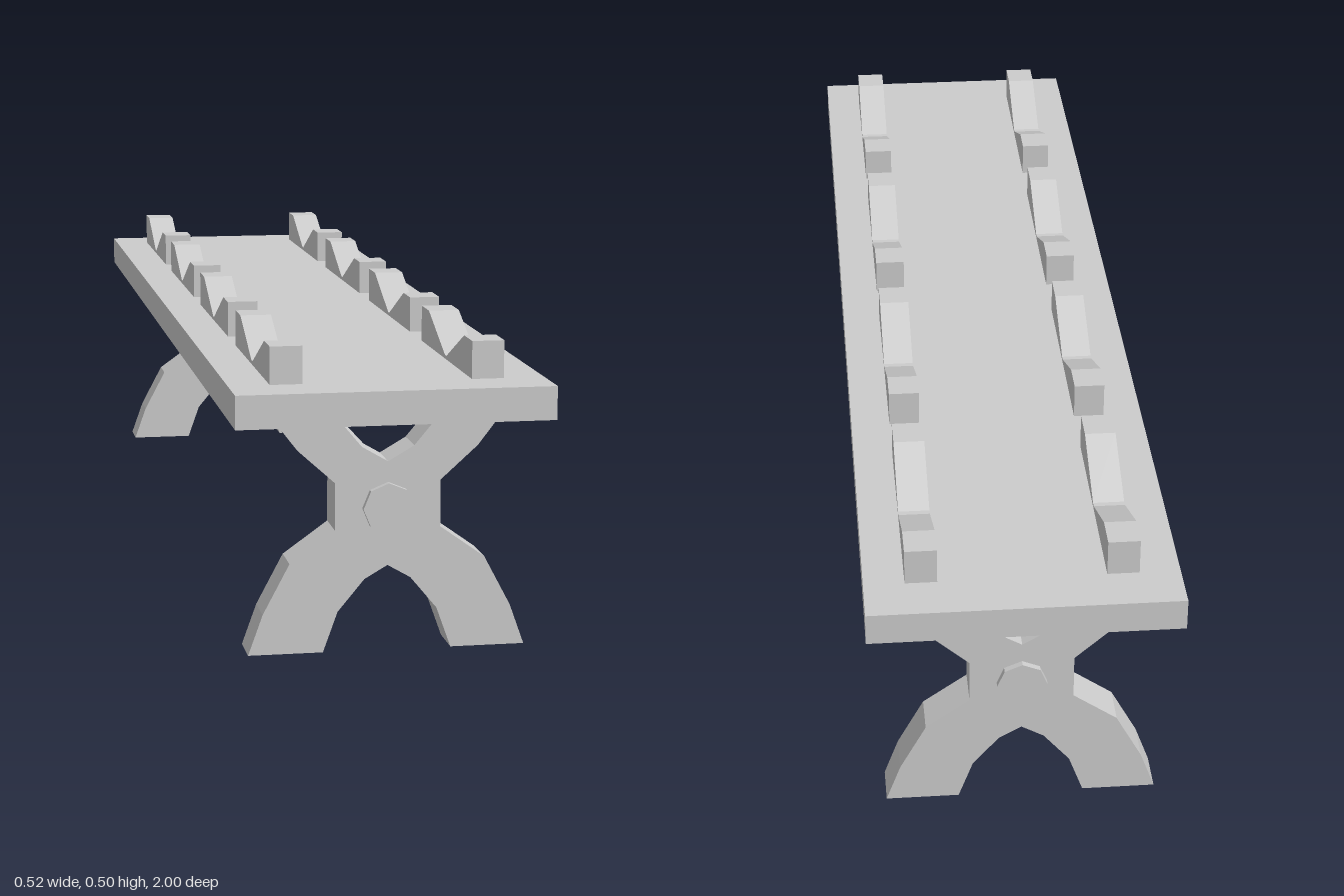
import * as THREE from 'three';

const material = new THREE.MeshStandardMaterial({ color: 0xcccccc, flatShading: true });

function part(name, geometry, x = 0, y = 0, z = 0) {
  const mesh = new THREE.Mesh(geometry, material);
  mesh.name = name;
  mesh.position.set(x, y, z);
  return mesh;
}

// Extrudes an outline, centred on its depth
function slab(points, depth) {
  const shape = new THREE.Shape(points.map(([x, y]) => new THREE.Vector2(x, y)));
  return new THREE.ExtrudeGeometry(shape, { depth, bevelEnabled: false }).translate(0, 0, -depth / 2);
}

export function createModel() {
  const model = new THREE.Group();
  model.name = 'rackBench';

  // Plank top
  model.add(part('top', new THREE.BoxGeometry(0.518, 0.055, 2), 0, 0.4155, 0));

  // X-shaped trestle legs: right half of the outline, then mirrored
  const half = [
    [0, 0.142], [0.038, 0.12], [0.082, 0.067], [0.106, 0], [0.229, 0], [0.205, 0.067], [0.161, 0.15],
    [0.087, 0.203], [0.087, 0.281], [0.148, 0.336], [0.188, 0.388], [0.084, 0.388], [0.043, 0.339], [0, 0.314],
  ];
  const mirrored = half.slice(1, -1).reverse().map(([x, y]) => [-x, y]);
  const leg = slab([...half, ...mirrored], 0.07);
  for (const s of [1, -1]) model.add(part(s > 0 ? 'frontLegs' : 'backLegs', leg, 0, 0, s * 0.89));

  // Octagonal stretcher passing through both trestles
  const rod = new THREE.CylinderGeometry(0.042, 0.042, 1.872, 8).rotateX(Math.PI / 2);
  model.add(part('stretcher', rod, 0, 0.238, 0));

  // Notched cradles in two rows of four
  const cradle = slab([
    [-0.192, 0], [0.192, 0], [0.192, 0.062], [0.134, 0.062],
    [0.005, 0.006], [-0.005, 0.006], [-0.134, 0.062], [-0.192, 0.062],
  ], 0.053).rotateY(Math.PI / 2);
  for (const x of [-0.165, 0.165]) {
    for (let i = 0; i < 4; i++) model.add(part('cradle', cradle, x, 0.443, (i - 1.5) * 0.483));
  }
  return model;
}
